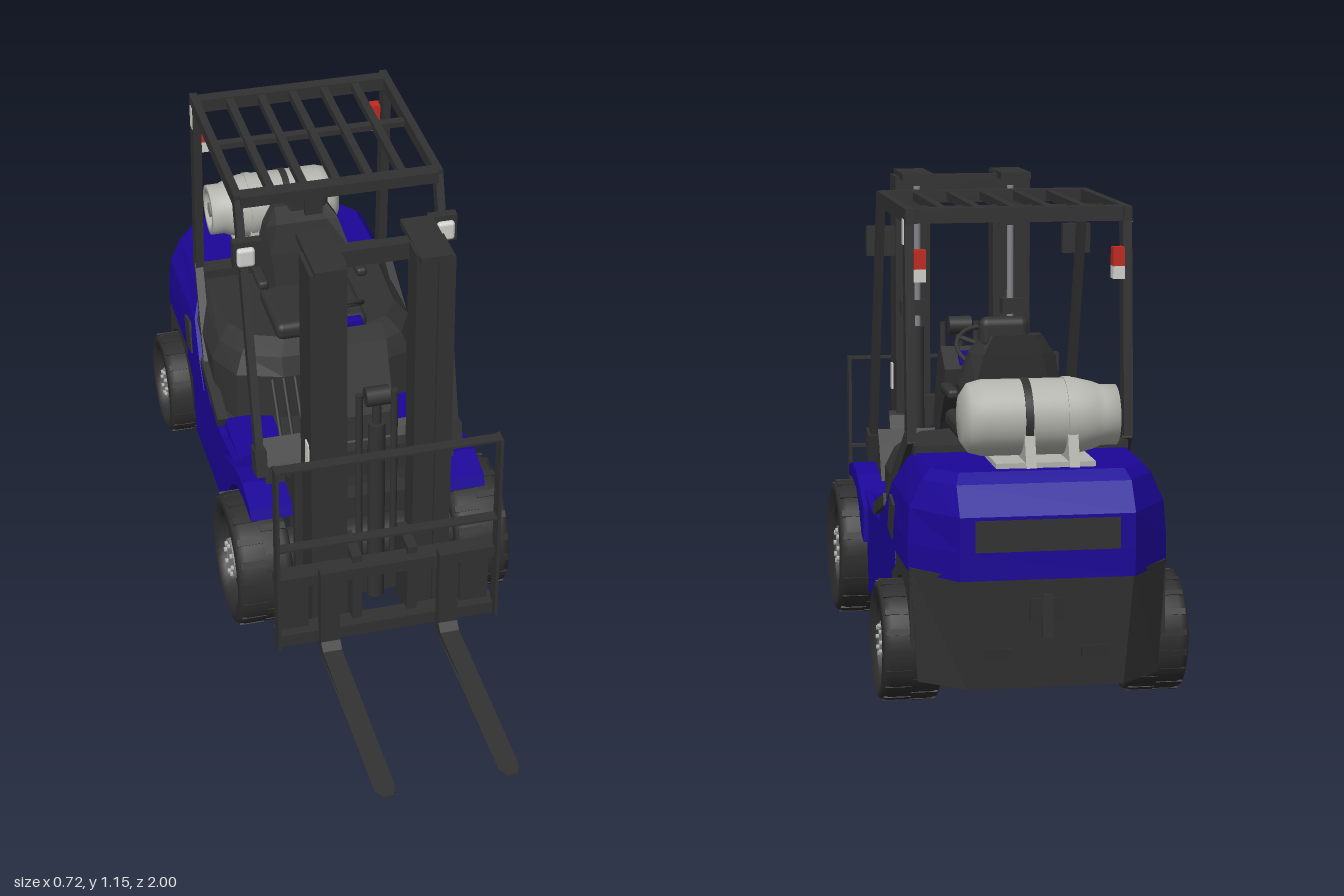
import * as THREE from 'three';
import { RoundedBoxGeometry } from 'three/addons/geometries/RoundedBoxGeometry.js';

const mat = (name, color) => Object.assign(new THREE.MeshStandardMaterial({ color }), { name });

export function createModel() {
  const root = new THREE.Group();
  root.name = 'forklift';
  const blue = mat('body blue', 0x1c0698), dark = mat('frame dark grey', 0x323232),
    tyre = mat('tyre rubber', 0x2e2e2e), silver = mat('tank silver', 0xb4b4ae),
    steel = mat('hub steel', 0x85858a), lamp = mat('lamp lens', 0xd0d0cc), red = mat('tail lamp red', 0xc02a20);

  const add = (name, geo, m, x = 0, y = 0, z = 0, parent = root) => {
    const mesh = new THREE.Mesh(geo, m);
    mesh.name = name;
    mesh.position.set(x, y, z);
    parent.add(mesh);
    return mesh;
  };
  // box from min/max ranges
  const box = (name, m, x0, x1, y0, y1, z0, z1) =>
    add(name, new THREE.BoxGeometry(x1 - x0, y1 - y0, z1 - z0), m, (x0 + x1) / 2, (y0 + y1) / 2, (z0 + z1) / 2);
  const soft = (name, m, w, h, d, x, y, z, r = 0.02) => add(name, new RoundedBoxGeometry(w, h, d, 3, r), m, x, y, z);
  // rectangular bar between two points
  const beam = (name, m, a, b, w, h = w) => {
    const p = new THREE.Vector3(...a), q = new THREE.Vector3(...b);
    const mesh = add(name, new THREE.BoxGeometry(w, h, p.distanceTo(q)), m, ...p.clone().lerp(q, 0.5).toArray());
    mesh.lookAt(q);
    return mesh;
  };
  // round bar between two points
  const rod = (name, m, a, b, r) => {
    const curve = new THREE.LineCurve3(new THREE.Vector3(...a), new THREE.Vector3(...b));
    const mesh = add(name, new THREE.CylinderGeometry(r, r, curve.getLength(), 14), m, ...curve.getPoint(0.5).toArray());
    mesh.quaternion.setFromUnitVectors(new THREE.Vector3(0, 1, 0), curve.getTangent(0));
    return mesh;
  };
  // side profile of [z, y] points extruded from x0 to x1
  const side = (name, m, pts, x0, x1) => {
    const geo = new THREE.ExtrudeGeometry(new THREE.Shape(pts.map(p => new THREE.Vector2(...p))),
      { depth: x1 - x0, bevelEnabled: false });
    return add(name, geo.rotateY(-Math.PI / 2).translate(x1, 0, 0), m);
  };
  // stacked plan sections [y, half outline from rear to front], mirrored in x
  const loft = (name, m, sections) => {
    const rings = sections.map(([y, half]) =>
      [...half, ...half.map(([x, z]) => [-x, z]).reverse()].map(([x, z]) => [x, y, z]));
    const pos = [], n = rings[0].length;
    for (let i = 0; i < n; i++) {
      const j = (i + 1) % n;
      for (let k = 0; k + 1 < rings.length; k++) {
        const a = rings[k], b = rings[k + 1];
        pos.push(a[i], b[i], b[j], a[i], b[j], a[j]);
      }
      const lo = rings[0], hi = rings[rings.length - 1];
      const mid = r => [0, r[0][1], r.reduce((s, p) => s + p[2], 0) / n];
      pos.push(mid(lo), lo[i], lo[j], mid(hi), hi[j], hi[i]);
    }
    const geo = new THREE.BufferGeometry();
    geo.setAttribute('position', new THREE.Float32BufferAttribute(pos.flat(), 3));
    geo.computeVertexNormals();
    return add(name, geo, m);
  };
  const both = fn => [-1, 1].forEach(fn);
  const span = (s, a, b) => s > 0 ? [a, b] : [-b, -a];

  // wheels: tyre ring, open gap, spoked rim and hub
  const wheel = (name, s, y, z, r, w, ri, rim, bars) => {
    const g = new THREE.Group();
    g.name = name;
    g.position.set(s * 0.288, y, z);
    root.add(g);
    const h = w / 2;
    const prof = [[ri, -h * 0.8], [r * 0.85, -h], [r * 0.95, -h * 0.93], [r * 0.99, -h * 0.7], [r * 0.99, h * 0.7],
      [r * 0.95, h * 0.93], [r * 0.85, h], [ri, h * 0.8], [ri, -h * 0.8]].map(p => new THREE.Vector2(...p));
    add('tyre', new THREE.LatheGeometry(prof, 40).rotateZ(Math.PI / 2), tyre, 0, 0, 0, g);
    for (let i = 0; i < 36; i++) {
      const a = i * Math.PI / 18, lug = add('treadLug', new THREE.BoxGeometry(w * 0.44, r * 0.03, r * 0.1), tyre,
        (i % 2 ? 1 : -1) * w * 0.22, Math.cos(a) * r * 0.985, Math.sin(a) * r * 0.985, g);
      lug.rotation.x = a;
    }
    add('rim', new THREE.CylinderGeometry(rim, rim, w * 0.55, 32).rotateZ(Math.PI / 2), dark, 0, 0, 0, g);
    for (let i = 0; i < bars; i++) {
      const spoke = add('rimSpoke', new THREE.BoxGeometry(w * 0.4, 2 * ri + 0.01, r * 0.15), dark, 0, 0, 0, g);
      spoke.rotation.x = i * Math.PI / bars;
    }
    add('hub', new THREE.CylinderGeometry(r * 0.3, r * 0.34, w * 0.2, 24).rotateZ(-s * Math.PI / 2), steel, s * w * 0.32, 0, 0, g);
    for (let i = 0; i < 8; i++) {
      const a = i * Math.PI / 4;
      add('wheelNut', new THREE.CylinderGeometry(r * 0.04, r * 0.04, 0.02, 6).rotateZ(Math.PI / 2), silver,
        s * w * 0.4, Math.cos(a) * r * 0.23, Math.sin(a) * r * 0.23, g);
    }
  };
  both(s => {
    wheel('frontWheel', s, 0.18, 0.145, 0.175, 0.148, 0.12, 0.11, 3);
    wheel('rearWheel', s, 0.145, -0.74, 0.142, 0.14, 0.107, 0.083, 2);
  });

  // chassis and axles
  box('chassis', dark, -0.276, 0.276, 0.16, 0.335, -0.55, -0.08);
  box('transmission', dark, -0.1, 0.1, 0.11, 0.16, -0.4, -0.1);
  box('frontChassis', dark, -0.2, 0.2, 0.3, 0.36, -0.08, 0.2);
  box('rearChassis', dark, -0.19, 0.19, 0.27, 0.34, -0.88, -0.55);
  rod('frontAxle', dark, [-0.25, 0.18, 0.145], [0.25, 0.18, 0.145], 0.06);
  box('rearAxle', dark, -0.25, 0.25, 0.11, 0.18, -0.78, -0.7);

  // body sides, fenders and wheel arches
  both(s => {
    side('sideSkirt', blue, [[-0.54, 0.11], [-0.1, 0.11], [-0.075, 0.25], [-0.01, 0.33], [0.05, 0.37], [-0.03, 0.36],
      [-0.18, 0.335], [-0.32, 0.345], [-0.42, 0.39], [-0.6, 0.39], [-0.64, 0.3], [-0.57, 0.27]], ...span(s, 0.274, 0.298));
    box('step', blue, ...span(s, 0.15, 0.28), 0.33, 0.356, -0.23, -0.05);
    side('frontFender', blue, [[0.23, 0.355], [0.22, 0.385], [0.13, 0.405], [0.04, 0.39], [-0.04, 0.355], [-0.1, 0.33],
      [-0.1, 0.24], [-0.05, 0.25], [0, 0.31], [0.06, 0.35], [0.145, 0.362]], ...span(s, 0.2, 0.31));
    const arch = [[-0.88, 0.345], [-0.88, 0.14]];
    for (let i = 0; i <= 10; i++) {
      const a = Math.PI * (1 - i / 10) * 0.93;
      arch.push([-0.74 + Math.cos(a) * 0.155, 0.14 + Math.sin(a) * 0.155]);
    }
    side('rearWheelArch', dark, [...arch, [-0.56, 0.2], [-0.56, 0.345]], ...span(s, 0.18, 0.297));
    side('sideVent', dark, [[-0.54, 0.37], [-0.61, 0.355], [-0.63, 0.44], [-0.57, 0.455]], ...span(s, 0.297, 0.304));
  });

  // counterweight
  const low = [[0.2, -1], [0.3, -0.87]];
  loft('counterweightUpper', blue, [
    [0.335, [...low, [0.3, -0.4]]], [0.4, [...low, [0.3, -0.45]]], [0.48, [[0.2, -1], [0.295, -0.86], [0.292, -0.54]]],
    [0.545, [[0.2, -0.95], [0.265, -0.86], [0.265, -0.6]]], [0.568, [[0.19, -0.92], [0.245, -0.85], [0.25, -0.63]]]]);
  loft('counterweightLower', dark, [
    [0.08, [[0.18, -0.975], [0.28, -0.885], [0.28, -0.87]]], [0.345, [[0.198, -0.997], [0.296, -0.885], [0.296, -0.87]]]]);
  box('rearSlot', dark, -0.165, 0.165, 0.4, 0.472, -1.003, -0.995);
  box('towPinRecess', tyre, -0.04, 0.04, 0.24, 0.29, -0.999, -0.985);
  box('towPin', dark, -0.012, 0.012, 0.2, 0.3, -1, -0.985);
  both(s => box('rearFootSlot', tyre, s * 0.11 - 0.03, s * 0.11 + 0.03, 0.15, 0.175, -0.988, -0.97));

  // engine hood, floor and front cowl
  loft('engineHood', dark, [
    [0.34, [[0.28, -0.46], [0.28, -0.33], [0.24, -0.24], [0.12, -0.2]]],
    [0.48, [[0.285, -0.58], [0.285, -0.34], [0.24, -0.245], [0.12, -0.205]]],
    [0.53, [[0.262, -0.62], [0.262, -0.35], [0.22, -0.265], [0.12, -0.225]]],
    [0.56, [[0.24, -0.62], [0.23, -0.38], [0.19, -0.31], [0.1, -0.275]]]]);
  box('guardBaseBar', dark, -0.255, 0.255, 0.55, 0.585, -0.66, -0.61);
  box('floor', dark, -0.15, 0.15, 0.33, 0.352, -0.25, 0.05);
  side('cowl', dark, [[0.15, 0.36], [0.14, 0.45], [0.08, 0.5], [0.05, 0.46], [0.0, 0.36]], -0.25, 0.25);
  side('dashboard', dark, [[0.12, 0.42], [0.1, 0.54], [0.02, 0.71], [-0.03, 0.73], [-0.1, 0.68], [-0.09, 0.61], [-0.02, 0.53],
    [0.05, 0.42]], -0.1, 0.1);
  beam('dashCover', blue, [-0.06, 0.705, -0.075], [0.06, 0.705, -0.075], 0.03, 0.035);
  rod('steeringColumn', dark, [0, 0.66, -0.065], [0, 0.74, -0.12], 0.015);
  const steer = add('steeringWheel', new THREE.TorusGeometry(0.072, 0.006, 8, 28), dark, 0, 0.74, -0.12);
  steer.rotation.x = -2.214;
  for (let i = 0; i < 3; i++) {
    const a = i * Math.PI * 2 / 3 + Math.PI / 2;
    const spoke = add('spoke', new THREE.BoxGeometry(0.07, 0.012, 0.006), dark, Math.cos(a) * 0.035, Math.sin(a) * 0.035, 0, steer);
    spoke.rotation.z = a;
  }
  for (let i = 0; i < 3; i++) rod('lever', dark, [-0.13 - i * 0.03, 0.48, 0.06], [-0.13 - i * 0.03, 0.6, -0.03], 0.005);

  // seat
  soft('seatCushion', dark, 0.25, 0.05, 0.22, 0, 0.583, -0.365);
  box('seatBase', dark, -0.09, 0.09, 0.55, 0.57, -0.46, -0.28);
  loft('seatBack', dark, [
    [0.59, [[0.08, -0.5], [0.11, -0.48], [0.11, -0.435], [0.08, -0.445]]],
    [0.7, [[0.09, -0.53], [0.125, -0.5], [0.125, -0.45], [0.09, -0.465]]],
    [0.78, [[0.07, -0.54], [0.1, -0.52], [0.1, -0.48], [0.07, -0.485]]],
    [0.825, [[0.05, -0.545], [0.07, -0.535], [0.07, -0.505], [0.05, -0.505]]]]);
  soft('headrest', dark, 0.12, 0.075, 0.045, 0.02, 0.83, -0.52);
  both(s => soft('armrest', dark, 0.03, 0.025, 0.13, s * 0.135, 0.675, -0.42, 0.01));

  // overhead guard
  both(s => {
    const x = s * 0.259;
    beam('frontPillarFoot', dark, [x, 0.42, 0.12], [x, 0.49, 0.105], 0.03, 0.055);
    beam('frontPillar', dark, [x, 0.46, 0.11], [x, 1.12, -0.085], 0.02, 0.034);
    box('roofSideRail', dark, x - 0.01, x + 0.01, 1.1, 1.135, -0.622, -0.07);
    beam('rearPillar', dark, [x, 1.12, -0.59], [x, 0.59, -0.625], 0.022, 0.042);
    beam('lowerGuard', dark, [x, 0.6, -0.625], [s * 0.283, 0.41, -0.42], 0.022, 0.036);
    beam('lowerGuard', dark, [s * 0.286, 0.415, -0.43], [s * 0.286, 0.35, -0.22], 0.028, 0.03);
    // lamps
    box('headlampHousing', dark, s * 0.253 - 0.036, s * 0.253 + 0.036, 0.965, 1.04, -0.03, -0.005);
    soft('headlampLens', lamp, 0.046, 0.052, 0.02, s * 0.258, 1.0, 0.0, 0.009);
    box('tailLampRed', red, ...span(s, 0.222, 0.25), 0.995, 1.04, -0.63, -0.6);
    box('tailLampClear', lamp, ...span(s, 0.222, 0.25), 0.965, 0.995, -0.63, -0.6);
    box('pillarPlate', lamp, s * 0.269 - 0.003, s * 0.269 + 0.003, 1.05, 1.11, -0.605, -0.58);
  });
  box('roofFrontBar', dark, -0.255, 0.255, 1.105, 1.135, -0.1, -0.06);
  box('roofRearBar', dark, -0.255, 0.255, 1.1, 1.135, -0.61, -0.575);
  box('roofCrossBar', dark, -0.25, 0.25, 1.105, 1.12, -0.385, -0.36);
  for (let i = -2; i <= 2; i++) box('roofSlat', dark, i * 0.085 - 0.01, i * 0.085 + 0.01, 1.11, 1.132, -0.6, -0.08);
  box('innerMirror', dark, -0.085, -0.04, 1.045, 1.1, -0.1, -0.085);

  // gas tank
  const tankProf = [[0, -0.17], [0.055, -0.168], [0.08, -0.15], [0.088, -0.12], [0.088, 0.1], [0.078, 0.14], [0.07, 0.16],
    [0.07, 0.195], [0.05, 0.195], [0.05, 0.165], [0, 0.165]].map(p => new THREE.Vector2(...p));
  add('gasTank', new THREE.LatheGeometry(tankProf, 32).rotateZ(Math.PI / 2), silver, 0, 0.67, -0.79);
  add('tankValve', new THREE.CylinderGeometry(0.02, 0.02, 0.03, 12).rotateZ(Math.PI / 2), steel, -0.178, 0.67, -0.79);
  [-0.08, 0.02].forEach((x, i) => {
    add('tankStrap', new THREE.CylinderGeometry(0.091, 0.091, 0.018, 32).rotateZ(Math.PI / 2), i ? dark : silver, x, 0.67, -0.79);
    side('tankCradle', silver, [[-0.7, 0.56], [-0.9, 0.56], [-0.875, 0.64], [-0.715, 0.64]], x - 0.012, x + 0.012);
  });
  box('tankBase', silver, -0.13, 0.1, 0.565, 0.58, -0.89, -0.71);

  // mast
  both(s => {
    box('outerMastRail', dark, ...span(s, 0.138, 0.18), 0.08, 1.145, 0.24, 0.35);
    box('innerMastRail', dark, ...span(s, 0.085, 0.14), 0.1, 1.155, 0.265, 0.34);
    rod('liftCylinder', dark, [s * 0.125, 0.12, 0.228], [s * 0.125, 0.75, 0.228], 0.018);
    rod('liftRod', steel, [s * 0.125, 0.75, 0.228], [s * 0.125, 1.12, 0.228], 0.009);
    box('mastTopPlate', dark, ...span(s, 0.09, 0.17), 1.14, 1.158, 0.17, 0.36);
    box('mastClamp', dark, ...span(s, 0.1, 0.17), 0.78, 0.82, 0.205, 0.25);
    box('mastClamp', dark, ...span(s, 0.1, 0.17), 1.06, 1.1, 0.205, 0.25);
    side('mastBracket', dark, [[0.25, 0.1], [0.25, 0.52], [0.235, 0.51], [0.2, 0.45], [0.14, 0.42], [0.15, 0.36], [0.23, 0.34],
      [0.23, 0.1]], ...span(s, 0.15, 0.2));
    box('mastPlate', lamp, ...span(s, 0.178, 0.184), 0.57, 0.64, 0.3, 0.33);
    rod('tiltCylinder', dark, [s * 0.16, 0.42, 0.25], [s * 0.16, 0.36, -0.05], 0.022);
    rod('chain', dark, [s * 0.045, 0.2, 0.3], [s * 0.045, 0.75, 0.3], 0.009);
  });
  for (const [y0, y1] of [[0.1, 0.17], [0.48, 0.56], [1.105, 1.15]]) box('mastCrossMember', dark, -0.16, 0.16, y0, y1, 0.235, 0.27);
  rod('centreCylinder', dark, [0, 0.12, 0.3], [0, 0.66, 0.3], 0.022);
  rod('centreRod', dark, [0, 0.66, 0.3], [0, 0.75, 0.3], 0.012);
  rod('chainPulley', dark, [-0.03, 0.74, 0.3], [0.03, 0.74, 0.3], 0.025);
  both(s => rod('sideShiftRod', silver, [s * 0.05, 0.258, 0.385], [s * 0.13, 0.258, 0.385], 0.01));

  // carriage, load backrest and forks
  box('carriageTopBar', dark, -0.287, 0.287, 0.268, 0.3, 0.365, 0.415);
  box('carriageBottomBar', dark, -0.287, 0.287, 0.085, 0.12, 0.365, 0.415);
  both(s => {
    box('carriageRollerPlate', dark, ...span(s, 0.06, 0.085), 0.09, 0.32, 0.28, 0.39);
    box('carriagePlate', dark, ...span(s, 0.2, 0.275), 0.1, 0.28, 0.37, 0.39);
    box('backrestPost', dark, ...span(s, 0.282, 0.29), 0.09, 0.645, 0.395, 0.435);
    const fork = side('fork', dark, [[0.41, 0.06], [0.7, 0.06], [0.97, 0.068], [1, 0.07], [1, 0.074], [0.97, 0.076],
      [0.46, 0.083], [0.44, 0.1], [0.44, 0.32], [0.41, 0.32]], s * 0.155 - 0.025, s * 0.155 + 0.025);
    const p = fork.geometry.attributes.position;
    for (let i = 0; i < p.count; i++) if (p.getZ(i) > 0.99) p.setX(i, s * 0.155 + (p.getX(i) - s * 0.155) * 0.55);
    fork.geometry.computeVertexNormals();
  });
  for (const y of [0.4, 0.642]) box('backrestBar', dark, -0.29, 0.29, y - 0.003, y + 0.003, 0.4, 0.43);
  return root;
}
